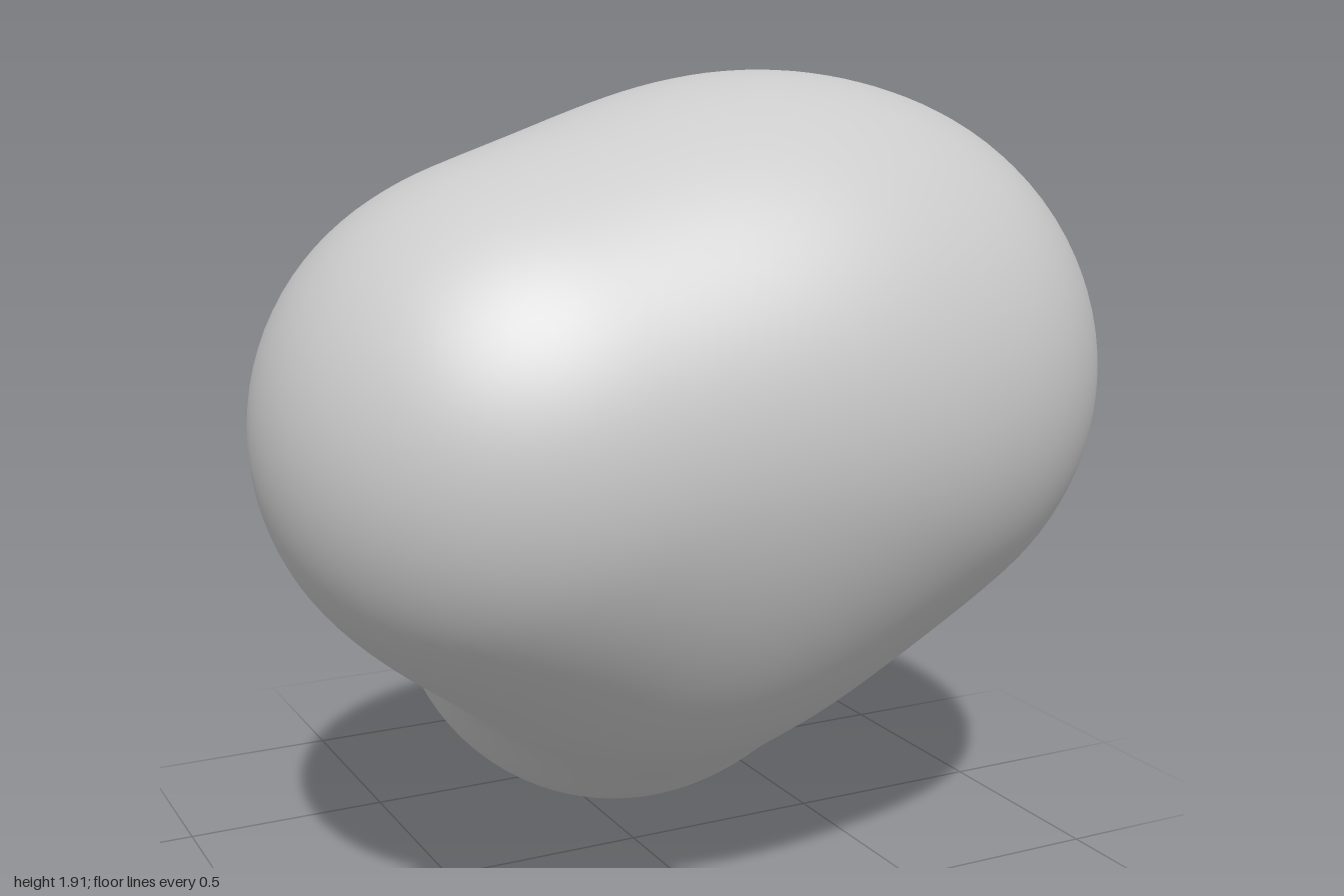
import * as THREE from 'three';
import { mergeVertices } from 'three/addons/utils/BufferGeometryUtils.js';

// Rounded lobes: centre and radius
const lobe = (x, y, z, r) => ({ c: new THREE.Vector3(x, y, z), r });
const rightLobe = lobe(-0.42, 1.155, 0.28, 0.58);
const leftLobe = lobe(0.37, 1.22, 0.27, 0.62);
const topLobe = lobe(0.16, 1.25, 0.2, 0.58);
const bellyLobe = lobe(-0.02, 0.79, 0.09, 0.51);
const lowerLobe = lobe(0.115, 0.575, -0.355, 0.575);
const backLobe = lobe(0.14, 0.87, -0.395, 0.535);

const dist = (p, l) => p.distanceTo(l.c) - l.r;

// Smooth union of two distances
function blend(a, b, k) {
  const h = Math.max(k - Math.abs(a - b), 0) / k;
  return Math.min(a, b) - k * h * h / 4;
}

function field(p) {
  let front = blend(dist(p, rightLobe), dist(p, leftLobe), 0.57);
  front = blend(front, dist(p, topLobe), 0.28);
  front = blend(front, dist(p, bellyLobe), 0.35);
  const back = blend(dist(p, lowerLobe), dist(p, backLobe), 0.13);
  return blend(front, back, 0.26);
}

function blobGeometry() {
  let geo = new THREE.IcosahedronGeometry(1, 28);
  geo.deleteAttribute('normal');
  geo.deleteAttribute('uv');
  geo = mergeVertices(geo, 1e-5);
  const pos = geo.attributes.position;
  const centre = new THREE.Vector3(0.05, 0.95, 0);
  const dir = new THREE.Vector3();
  const p = new THREE.Vector3();

  // Push every vertex outwards until it meets the blended surface
  for (let i = 0; i < pos.count; i++) {
    dir.fromBufferAttribute(pos, i).normalize();
    let lo = 0, hi = 2;
    for (let s = 0; s < 26; s++) {
      const mid = (lo + hi) / 2;
      p.copy(centre).addScaledVector(dir, mid);
      if (field(p) < 0) lo = mid; else hi = mid;
    }
    pos.setXYZ(i, p.x, p.y, p.z);
  }
  geo.computeVertexNormals();
  return geo;
}

export function createModel() {
  const group = new THREE.Group();
  group.name = 'blob';
  const body = new THREE.Mesh(blobGeometry(), new THREE.MeshStandardMaterial({ color: 0xcccccc }));
  body.name = 'lobedBody';
  group.add(body);
  return group;
}
